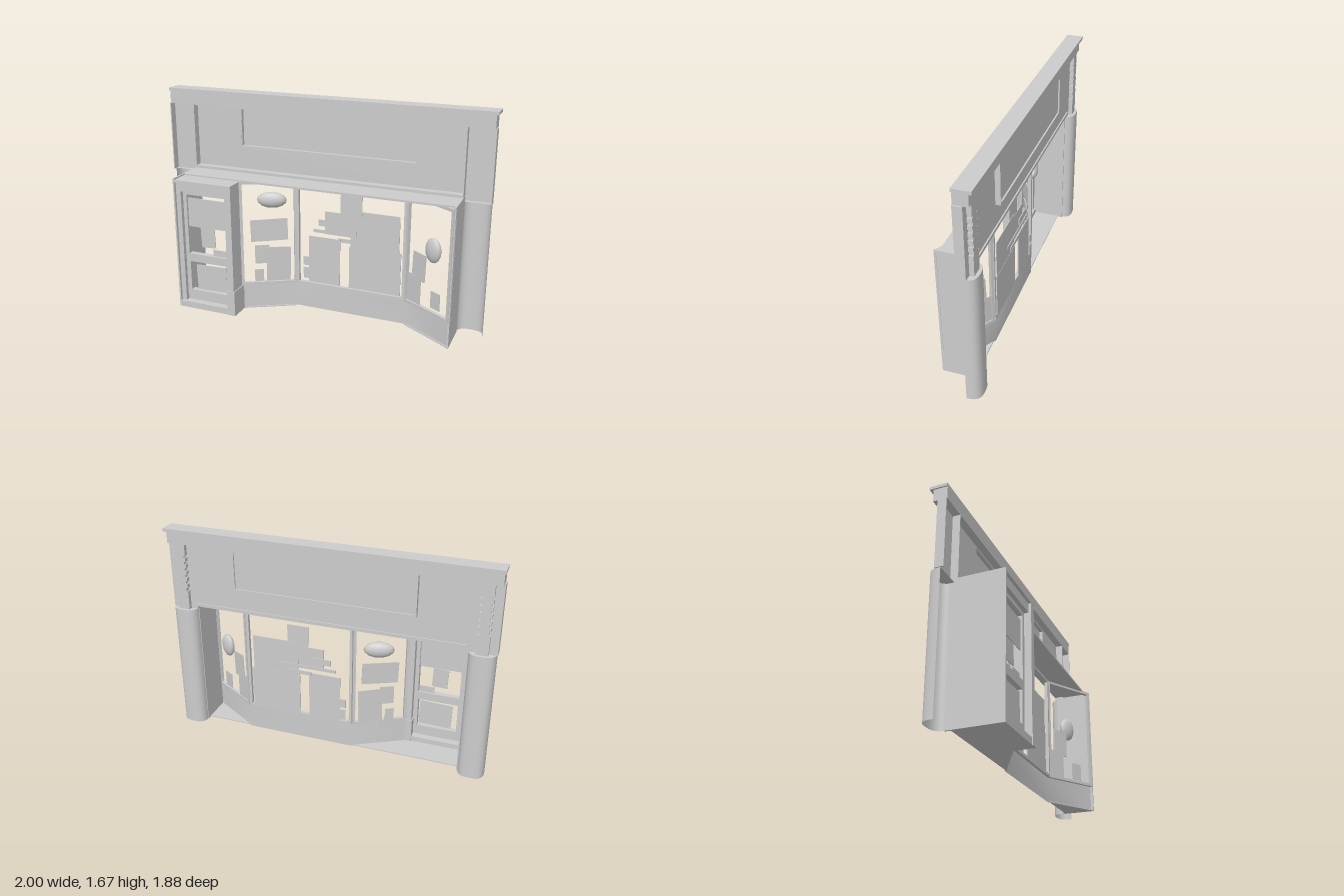
import * as THREE from 'three';

export function createModel() {
  const stone = new THREE.MeshStandardMaterial({ color: 0xcccccc, side: THREE.DoubleSide });
  stone.name = 'light grey';
  const model = new THREE.Group();
  model.name = 'shopFront';
  // Built facing local +z, then turned on the spot
  const shop = new THREE.Group();
  shop.name = 'facade';
  shop.rotation.y = Math.atan2(0.695, -0.719);
  model.add(shop);

  const add = (name, geometry, parent = shop) => {
    const mesh = new THREE.Mesh(geometry, stone);
    mesh.name = name;
    parent.add(mesh);
    return mesh;
  };
  // Box given by its limits on each axis
  const slab = (name, x0, x1, y0, y1, z0, z1, parent) => {
    const m = add(name, new THREE.BoxGeometry(x1 - x0, y1 - y0, z1 - z0), parent);
    m.position.set((x0 + x1) / 2, (y0 + y1) / 2, (z0 + z1) / 2);
    return m;
  };
  // Rectangular frame of four bars
  const frame = (name, x0, x1, y0, y1, z0, z1, t, parent) => {
    slab(name, x0, x0 + t, y0, y1, z0, z1, parent);
    slab(name, x1 - t, x1, y0, y1, z0, z1, parent);
    slab(name, x0 + t, x1 - t, y0, y0 + t, z0, z1, parent);
    slab(name, x0 + t, x1 - t, y1 - t, y1, z0, z1, parent);
  };
  const poster = (parent, x0, x1, y0, y1, z = 0.012, tilt = 0) => {
    slab('poster', x0, x1, y0, y1, z - 0.003, z + 0.003, parent).rotation.z = tilt;
  };

  const L = -1.08, R = 1.035, BACK = -0.025, FACE = 0.042;

  // Cornice
  slab('corniceTop', -1.285, 1.245, 1.645, 1.668, BACK, 0.105);
  slab('corniceBand', -1.27, 1.235, 1.55, 1.645, BACK, 0.08);

  // Upper wall with an opening behind the sign
  const wall = new THREE.Shape([[L, 1.05], [R, 1.05], [R, 1.55], [L, 1.55]].map(p => new THREE.Vector2(...p)));
  wall.holes.push(new THREE.Path([[-0.73, 1.245], [-0.73, 1.54], [0.655, 1.54], [0.655, 1.245]].map(p => new THREE.Vector2(...p))));
  add('upperWall', new THREE.ExtrudeGeometry(wall, { depth: 0.01, bevelEnabled: false })).position.z = FACE - 0.01;
  slab('wallTrim', L, R, 1.045, 1.07, BACK, 0.052);

  // Sign board
  frame('signFrame', -0.74, 0.665, 1.235, 1.55, 0.034, 0.08, 0.015);
  slab('signPanel', -0.73, 0.655, 1.245, 1.54, 0.062, 0.068);

  // Pilasters with notched strips, and rounded columns below
  for (const [x0, x1] of [[-1.275, L], [R, 1.24]]) {
    const c = (x0 + x1) / 2;
    slab('pilasterFace', x0, x1, 1.02, 1.55, FACE - 0.01, FACE);
    for (const x of [x0, x1]) slab('pilasterSide', x - 0.004, x + 0.004, 1.02, 1.55, BACK, FACE);
    slab('pilasterStrip', c - 0.033, c + 0.033, 1.02, 1.55, FACE, 0.075);
    slab('stripFoot', c - 0.045, c + 0.045, 1.02, 1.17, FACE, 0.075);
    slab('stripHead', c - 0.045, c + 0.045, 1.46, 1.55, FACE, 0.075);
    for (let i = 0; i < 5; i++) {
      const y = 1.2 + i * 0.053;
      slab('stripTooth', c - 0.045, c + 0.045, y, y + 0.03, FACE, 0.075);
    }
    const soften = v => Math.sign(v) * Math.abs(v) ** 0.7;
    const shaft = new THREE.CylinderGeometry(1, 1, 1.02, 24, 1, true, -Math.PI / 2, Math.PI);
    const p = shaft.attributes.position;
    for (let i = 0; i < p.count; i++) {
      p.setXYZ(i, 0.1 * soften(p.getX(i)), p.getY(i) + 0.51, 0.1 * soften(Math.max(0, p.getZ(i))));
    }
    shaft.computeVertexNormals();
    add('column', shaft).position.x = c;
    const outline = [];
    for (let i = 0; i <= 24; i++) {
      const a = Math.PI * i / 24;
      outline.push(new THREE.Vector2(0.1 * soften(Math.cos(a)), -0.1 * soften(Math.max(0, Math.sin(a)))));
    }
    const cap = add('columnCap', new THREE.ShapeGeometry(new THREE.Shape(outline)));
    cap.rotation.x = -Math.PI / 2;
    cap.position.set(c, 1.02, 0);
  }

  // Soffit and side walls of the recess
  slab('soffit', L, R, 1.035, 1.05, -0.218, BACK);
  slab('leftReturn', L - 0.006, L + 0.006, 0, 1.05, -0.254, 0.03);
  slab('rightReturn', R - 0.006, R + 0.006, 0, 1.05, -0.365, 0.03);

  // Bay window: curved-looking base, framed lights
  const bay = [[L, -0.25], [-0.69, -0.01], [0.18, -0.01], [0.56, -0.22]];
  const base = new THREE.PlaneGeometry(1, 0.2, 3, 1);
  const bp = base.attributes.position;
  for (let i = 0; i < bp.count; i++) {
    const [x, z] = bay[i % 4];
    bp.setXYZ(i, x, i < 4 ? 0.205 : 0, z + 0.012);
  }
  base.computeVertexNormals();
  add('bayBase', base);
  const lights = [];
  for (let i = 0; i < 3; i++) {
    const [ax, az] = bay[i], [bx, bz] = bay[i + 1];
    const light = new THREE.Group();
    light.name = 'bayWindow';
    light.position.set(ax, 0, az);
    light.rotation.y = Math.atan2(az - bz, bx - ax);
    const len = Math.hypot(bx - ax, bz - az);
    frame('windowFrame', 0, len, 0.2, 1.04, -0.012, 0.015, 0.022, light);
    shop.add(light);
    lights.push(light);
  }

  // Displays in the left light
  poster(lights[0], 0.26, 0.39, 0.41, 0.62, 0.006, 0.04);
  poster(lights[0], 0.3, 0.45, 0.21, 0.44, 0.004);
  poster(lights[0], 0.11, 0.2, 0.24, 0.37);
  // Displays in the middle light
  const mid = [
    [-0.345, -0.175, 0.81, 0.985], [-0.3, -0.05, 0.635, 0.815], [-0.635, -0.255, 0.56, 0.845],
    [-0.65, -0.245, 0.205, 0.56], [-0.17, 0.085, 0.205, 0.6], [-0.41, 0.05, 0.635, 0.66],
    [-0.36, -0.15, 0.58, 0.61], [-0.16, 0.01, 0.69, 0.74], [0.085, 0.135, 0.35, 0.42], [0.085, 0.135, 0.24, 0.33],
  ];
  mid.forEach(([x0, x1, y0, y1], i) => poster(lights[1], x0 + 0.69, x1 + 0.69, y0, y1, 0.006 + i * 0.002));
  // Displays in the right light
  poster(lights[2], 0.07, 0.355, 0.555, 0.73, 0.01, -0.03);
  poster(lights[2], 0.215, 0.325, 0.37, 0.52);
  poster(lights[2], 0.05, 0.235, 0.22, 0.5, 0.01, 0.02);
  poster(lights[2], 0.26, 0.33, 0.22, 0.32);
  // Hanging ornaments
  const ornament = (x, y, z, rx, ry, rz, turn) => {
    const m = add('hangingOrnament', new THREE.SphereGeometry(1, 14, 8));
    m.position.set(x, y, z);
    m.scale.set(rx, ry, rz);
    m.rotation.y = turn;
  };
  ornament(0.37, 0.87, -0.05, 0.115, 0.063, 0.045, 0.3);
  ornament(-0.91, 0.665, -0.1, 0.07, 0.095, 0.035, -0.5);

  // Thin ground slab in front of the bay and in the doorway
  const floors = [
    [[L, -0.25], [-0.69, -0.01], [L, -0.01]],
    [[0.18, -0.01], [0.56, -0.22], [0.56, -0.365], [R, -0.365], [R, -0.01]],
  ];
  for (const f of floors) {
    const shape = new THREE.Shape(f.map(([x, z]) => new THREE.Vector2(x, -z)));
    add('ground', new THREE.ExtrudeGeometry(shape, { depth: 0.008, bevelEnabled: false })).rotation.x = -Math.PI / 2;
  }

  // Entrance: jamb, lintel, step and glazed door
  slab('doorJamb', 0.555, 0.605, 0, 1.04, -0.365, -0.218);
  slab('jambPlinth', 0.548, 0.612, 0, 0.2, -0.37, -0.21);
  slab('doorLintel', 0.557, R, 0.95, 1.02, -0.345, -0.235);
  slab('lintelCap', 0.557, R + 0.004, 1.02, 1.04, -0.367, -0.218);
  slab('doorStep', 0.557, R, 0, 0.05, -0.365, -0.22);
  slab('doorPost', 0.99, R, 0.05, 0.95, -0.345, -0.235);
  frame('upperDoorFrame', 0.605, 0.99, 0.41, 0.95, -0.314, -0.271, 0.03);
  frame('lowerDoorFrame', 0.605, 0.99, 0.1, 0.41, -0.314, -0.271, 0.035);
  slab('kickPlate', 0.605, 0.99, 0.05, 0.1, -0.31, -0.275);
  poster(shop, 0.635, 0.96, 0.66, 0.89, -0.295);
  poster(shop, 0.74, 0.86, 0.5, 0.66, -0.29, -0.04);
  poster(shop, 0.64, 0.76, 0.44, 0.49, -0.29);
  poster(shop, 0.65, 0.91, 0.145, 0.35, -0.295, -0.03);

  return model;
}
